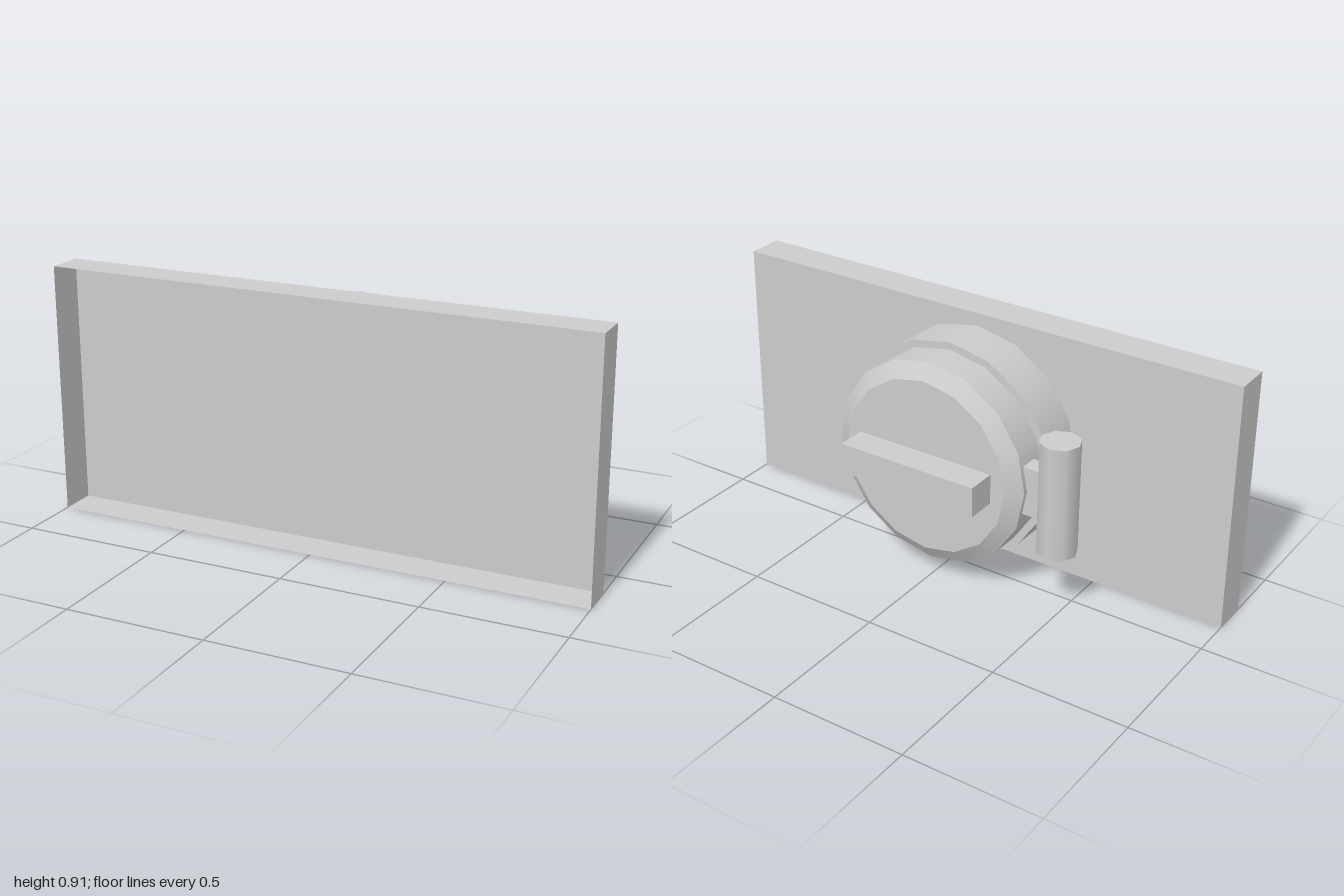
import * as THREE from 'three';
import { mergeGeometries } from 'three/addons/utils/BufferGeometryUtils.js';

const CY = 0.455; // height of the drum axis

export function createModel() {
  const model = new THREE.Group();
  const grey = new THREE.MeshStandardMaterial({ color: 0xcccccc });
  grey.name = 'grey';
  const greySheet = new THREE.MeshStandardMaterial({ color: 0xcccccc, side: THREE.DoubleSide });
  greySheet.name = 'greySheet';

  const add = (name, geometry, material, x, y, z) => {
    const mesh = new THREE.Mesh(geometry, material);
    mesh.name = name;
    mesh.position.set(x, y, z);
    model.add(mesh);
    return mesh;
  };

  // Shallow tray of thin sheet, open towards the front
  const tray = new THREE.BoxGeometry(2, 0.91, 0.133);
  const faces = Array.from(tray.index.array);
  faces.splice(24, 6); // remove the +z side
  tray.setIndex(faces);
  tray.clearGroups();
  add('tray', tray, greySheet, 0, CY, 0.2135);

  // Stepped drum behind the tray: each profile piece is its own band, so the steps stay sharp
  const profile = [
    [0.408, -0.147], [0.408, 0.017], [0.381, 0.017],
    [0.381, 0.135], [0.325, 0.172], [0, 0.172],
  ].map(([r, h]) => new THREE.Vector2(r, h));
  const bands = profile.slice(1).map((p, i) => new THREE.LatheGeometry([profile[i], p], 16));
  add('drum', mergeGeometries(bands), grey, 0, CY, 0).rotation.x = -Math.PI / 2;

  // Grip bar across the drum face
  add('gripBar', new THREE.BoxGeometry(0.54, 0.11, 0.118), grey, 0, CY, -0.222);

  // Upright side cylinder on a short bracket
  add('sideCylinder', new THREE.CylinderGeometry(0.072, 0.072, 0.42, 8), grey, -0.484, CY, -0.086);
  add('sideBracket', new THREE.BoxGeometry(0.11, 0.18, 0.066), grey, -0.385, CY, -0.086);

  return model;
}
